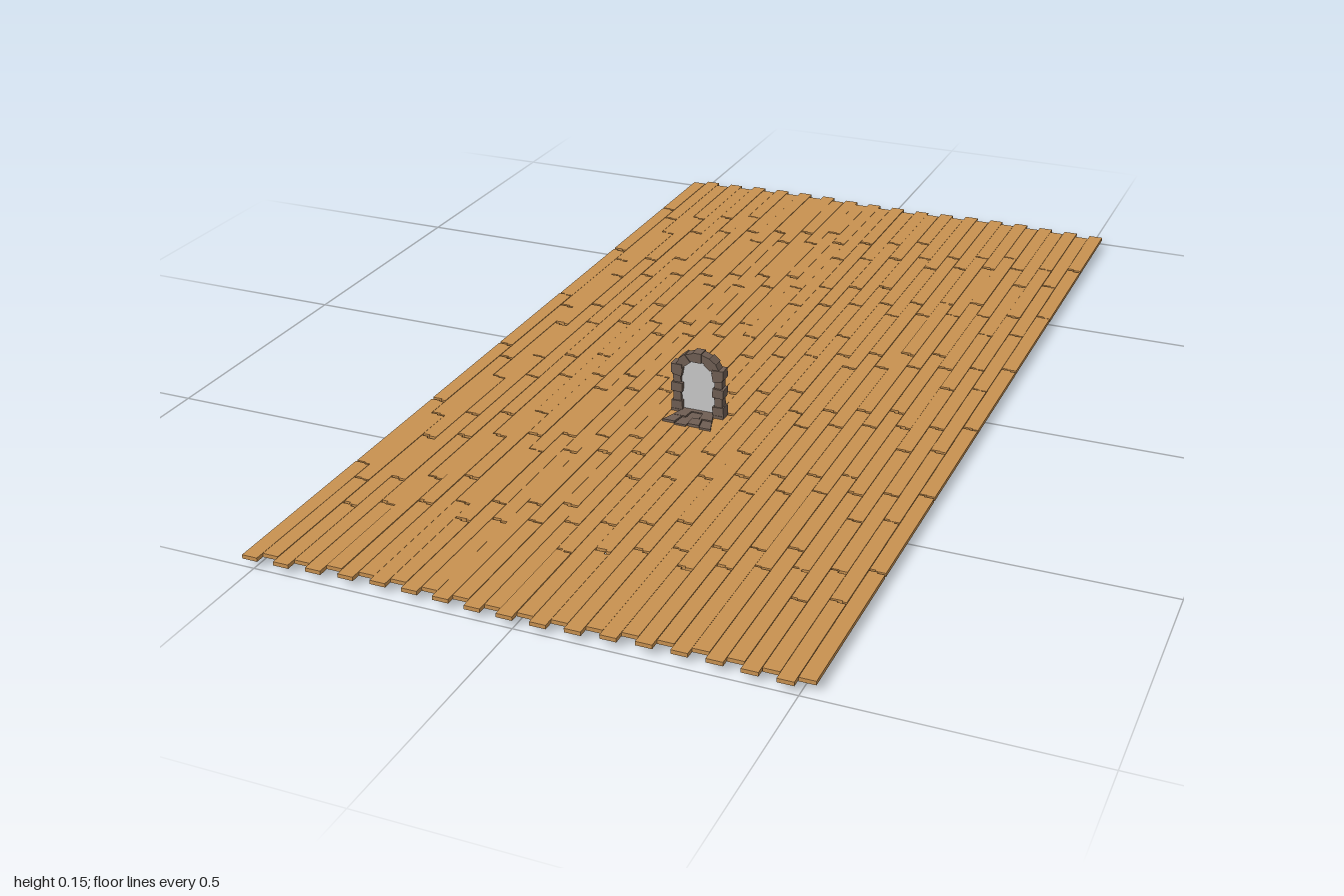
import * as THREE from 'three';

const mat = (name, color) => Object.assign(new THREE.MeshStandardMaterial({ color, flatShading: true }), { name });

// small seeded random source
function seeded(seed) {
  return () => {
    seed = (seed * 16807) % 2147483647;
    return seed / 2147483647;
  };
}

// flat slab from an outline in x and z, with its base at y
function slab(points, y, height) {
  const shape = new THREE.Shape(points.map(([x, z]) => new THREE.Vector2(x, -z)));
  const geo = new THREE.ExtrudeGeometry(shape, { depth: height, bevelEnabled: false });
  return geo.rotateX(-Math.PI / 2).translate(0, y, 0);
}

export function createModel() {
  const model = new THREE.Group();
  const wood = mat('wood', 0xc89150);
  const stone = mat('stone', 0x6f5e53);
  const panelGrey = mat('panelGrey', 0xc8c8c8);
  const rand = seeded(4711);
  const add = (parent, name, geo, material) => {
    const mesh = new THREE.Mesh(geo, material);
    mesh.name = name;
    parent.add(mesh);
    return mesh;
  };

  // plank floor: long rows of boards with staggered joints and chipped ends
  const floor = new THREE.Group();
  floor.name = 'plankFloor';
  model.add(floor);
  const rows = 34, pitch = 1.046 / rows, boards = 7;
  for (let i = 0; i < rows; i++) {
    const x0 = -0.523 + i * pitch, x1 = x0 + pitch - 0.0008;
    const wave = Math.cos((i / rows) * Math.PI * 4);
    const shift = 0.006 * wave + (i % 2 ? -0.009 : 0.008);
    const back = -0.985 + shift, front = 0.985 + shift;
    const stagger = ((i * 3) % 7) / 7 - 0.5;
    let start = back;
    for (let j = 1; j <= boards; j++) {
      const end = j === boards ? front : back + ((j + stagger * 0.6) / boards) * (front - back);
      const a = start + 0.0006, b = end - 0.0006;
      const c = 0.002 + rand() * 0.004, m = x0 + pitch * (0.3 + rand() * 0.4);
      const outline = [[x0, a], [m, a], [m, a + c], [x1, a + c], [x1, b], [m, b], [m, b - c], [x0, b - c]];
      // outer ends stay square
      if (j === 1) outline.splice(0, 4, [x0, a], [x1, a]);
      if (j === boards) outline.splice(-4, 4, [x1, b], [x0, b]);
      add(floor, 'plank', slab(outline, 0.0125 + rand() * 0.0015, 0.0075), wood);
      start = end;
    }
  }

  // stone doorway
  const doorway = new THREE.Group();
  doorway.name = 'stoneDoorway';
  doorway.position.set(-0.006, 0, 0.206);
  model.add(doorway);

  // jamb stones, alternately wide and narrow
  for (const side of [-1, 1]) {
    [0.034, 0.052, 0.073, 0.094, 0.113].forEach((y, k) => {
      const wide = k % 2 === 0;
      const block = add(doorway, 'jambStone',
        new THREE.BoxGeometry(wide ? 0.023 : 0.016, wide ? 0.019 : 0.021, wide ? 0.024 : 0.019), stone);
      block.position.set(side * 0.0435, y, 0);
      block.rotation.z = (rand() - 0.5) * 0.1;
    });
  }

  // arch stones
  const count = 9;
  for (let i = 0; i < count; i++) {
    const t = Math.PI * (0.06 + (0.88 * i) / (count - 1));
    const big = i % 2 === 0;
    const block = add(doorway, 'archStone',
      new THREE.BoxGeometry(big ? 0.020 : 0.016, big ? 0.018 : 0.017, big ? 0.024 : 0.020), stone);
    block.position.set(Math.cos(t) * 0.0425, 0.1 + Math.sin(t) * 0.0425, 0);
    block.rotation.z = t;
  }

  // pale panel filling the arch
  const opening = new THREE.Shape();
  opening.moveTo(-0.042, 0.02);
  opening.lineTo(0.042, 0.02);
  opening.lineTo(0.042, 0.1);
  opening.absarc(0, 0.1, 0.042, 0, Math.PI, false);
  opening.closePath();
  const panel = new THREE.ExtrudeGeometry(opening, { depth: 0.006, bevelEnabled: false, curveSegments: 12 });
  add(doorway, 'arcPanel', panel.translate(0, 0, -0.003), panelGrey);

  // sill under the arch
  const sill = add(doorway, 'sill', new THREE.BoxGeometry(0.11, 0.018, 0.026), stone);
  sill.position.y = 0.017;

  // paving slabs, fanned out in front and narrowing behind
  const fan = (z0, z1, w0, w1, n, name) => {
    for (let i = 0; i < n; i++) {
      const u0 = (2 * i) / n - 1 + 0.015, u1 = (2 * (i + 1)) / n - 1 - 0.015;
      const end = z1 + (i % 2 ? 0.004 : 0) * Math.sign(z1);
      const pts = [[u0 * w0, z0], [u1 * w0, z0], [u1 * w1, end], [u0 * w1, end]];
      const base = i % 2 ? 0.004 : 0.006;
      add(doorway, name, slab(z1 > z0 ? pts : pts.reverse(), base, 0.02), stone);
    }
  };
  fan(0.011, 0.036, 0.034, 0.042, 3, 'frontPaving');
  fan(0.037, 0.063, 0.042, 0.052, 4, 'frontPaving');
  fan(-0.011, -0.034, 0.024, 0.03, 3, 'backPaving');

  // footing stone
  const footing = add(doorway, 'footing', new THREE.BoxGeometry(0.06, 0.012, 0.05), stone);
  footing.position.set(0.012, 0.006, 0.012);
  return model;
}
